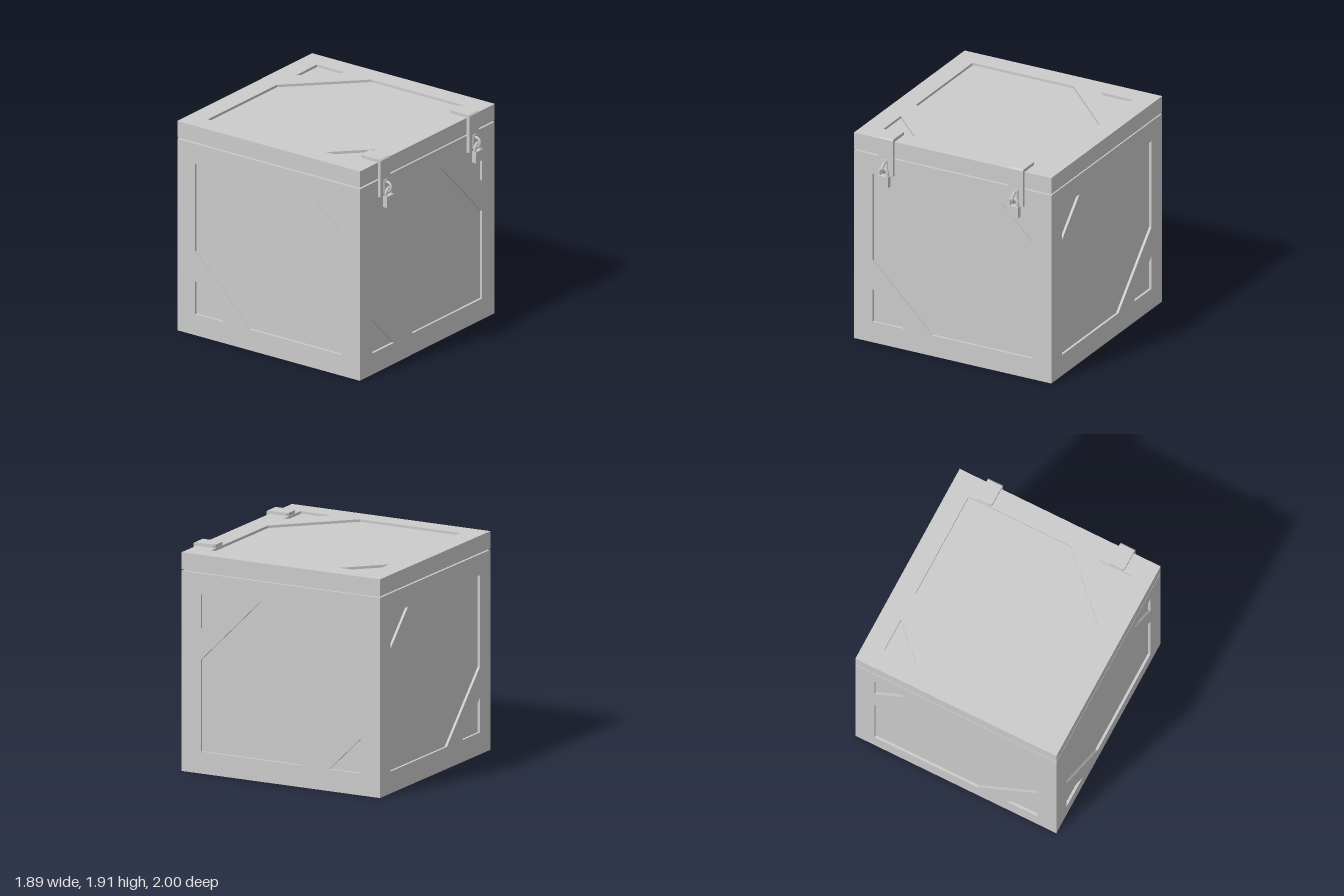
import * as THREE from 'three';

const W = 0.945, BACK = -1, FRONT = 0.9, SEAM = 1.725, LID = 1.737, TOP = 1.885;
const D = 0.022; // depth of the recessed panels
const MID = (FRONT + BACK) / 2;

const mat = new THREE.MeshStandardMaterial({ color: 0xcccccc });

function add(parent, name, geometry, x = 0, y = 0, z = 0) {
  const mesh = new THREE.Mesh(geometry, mat);
  mesh.name = name;
  mesh.position.set(x, y, z);
  parent.add(mesh);
  return mesh;
}

const points = (list) => list.map(([x, y]) => new THREE.Vector2(x, y));

function extrude(list, holes, depth) {
  const shape = new THREE.Shape(points(list));
  holes.forEach((h) => shape.holes.push(new THREE.Path(points(h))));
  return new THREE.ExtrudeGeometry(shape, { depth, bevelEnabled: false, curveSegments: 1 });
}

const rect = (x0, y0, x1, y1) => [[x0, y0], [x1, y0], [x1, y1], [x0, y1]];

// Six-sided opening plus two corner triangles; s = -1 mirrors the pattern
function openings(cx, cy, w, h, s) {
  const cut = 0.565, tri = 0.3;
  return [
    [[-w, h], [w - cut, h], [w, h - cut], [w, -h], [cut - w, -h], [-w, cut - h]],
    [[w - tri, h], [w, h], [w, h - tri]],
    [[-w, tri - h], [-w, -h], [tri - w, -h]],
  ].map((loop) => loop.map(([x, y]) => [cx + s * x, cy + y]));
}

// Flat strip with clipped corners at its free end, starting at y = 0 and running up
function tab(width, length, depth) {
  const a = width / 2, c = 0.016;
  return extrude([[-a, 0], [a, 0], [a, length - c], [a - c, length], [c - a, length], [-a, length - c]], [], depth);
}

function createLatch(x, name) {
  const latch = new THREE.Group();
  latch.name = name;
  latch.position.x = x;
  const w = 0.137, t = 0.028;

  // Strap folded over the lid edge
  add(latch, 'strapTop', tab(w, 0.18, t).rotateX(-Math.PI / 2), 0, TOP, FRONT);
  add(latch, 'strapFront', tab(w, 0.328, t).rotateZ(Math.PI), 0, TOP, FRONT);
  const fold = extrude([[0, 0], [-t, 0], [-t, t - 0.012], [-t + 0.012, t], [0, t]], [], w);
  add(latch, 'strapFold', fold.rotateY(Math.PI / 2), -w / 2, TOP, FRONT);

  // Staple on its small base plate
  add(latch, 'staplePlate', new THREE.BoxGeometry(0.048, 0.12, 0.012), 0, 1.66, FRONT + t + 0.004);
  const staple = new THREE.TorusGeometry(0.042, 0.012, 10, 28);
  add(latch, 'staple', staple.rotateY(Math.PI / 2), 0, 1.657, 0.946);

  // Padlock hanging from the staple
  const r = 0.037, z = 0.963;
  add(latch, 'padlockBody', new THREE.BoxGeometry(0.106, 0.097, 0.042), 0, 1.538, z);
  add(latch, 'shackleArch', new THREE.TorusGeometry(r, 0.0125, 10, 20, Math.PI), 0, 1.615, z);
  for (const s of [-1, 1]) {
    add(latch, 'shackleLeg', new THREE.CylinderGeometry(0.0125, 0.0125, 0.04, 10), s * r, 1.597, z);
  }
  return latch;
}

export function createModel() {
  const model = new THREE.Group();
  model.name = 'chest';

  // Inner core forms the floor of every recess and of the seam
  const coreTop = 1.76;
  add(model, 'core', new THREE.BoxGeometry(2 * (W - D), coreTop - D, FRONT - BACK - 2 * D), 0, (coreTop + D) / 2, MID);

  // Body frames around the core
  const body = new THREE.Group();
  body.name = 'body';
  model.add(body);
  const cy = 0.867, h = 0.678, w = 0.765;
  const face = extrude(rect(-W, D, W, SEAM), openings(0, cy, w, h, 1), D);
  add(body, 'frontFrame', face, 0, 0, FRONT - D);
  add(body, 'backFrame', face, 0, 0, BACK);
  const side = extrude(rect(D - FRONT, D, -BACK - D, SEAM), openings(-MID, cy, w, h, -1), D);
  side.rotateY(Math.PI / 2);
  add(body, 'leftFrame', side, W - D);
  add(body, 'rightFrame', side, -W);
  const base = extrude(rect(-W, -FRONT, W, -BACK), [rect(-w, -MID - w, w, -MID + w)], D);
  add(body, 'baseFrame', base.rotateX(-Math.PI / 2));

  // Lid slab topped by its frame
  const lid = new THREE.Group();
  lid.name = 'lid';
  model.add(lid);
  add(lid, 'lidSlab', new THREE.BoxGeometry(2 * W, TOP - D - LID, FRONT - BACK), 0, (TOP - D + LID) / 2, MID);
  const top = extrude(rect(-W, -FRONT, W, -BACK), openings(0, -MID, w, w, 1), D);
  add(lid, 'lidFrame', top.rotateX(-Math.PI / 2), 0, TOP - D);

  model.add(createLatch(0.621, 'leftLatch'), createLatch(-0.624, 'rightLatch'));
  return model;
}
